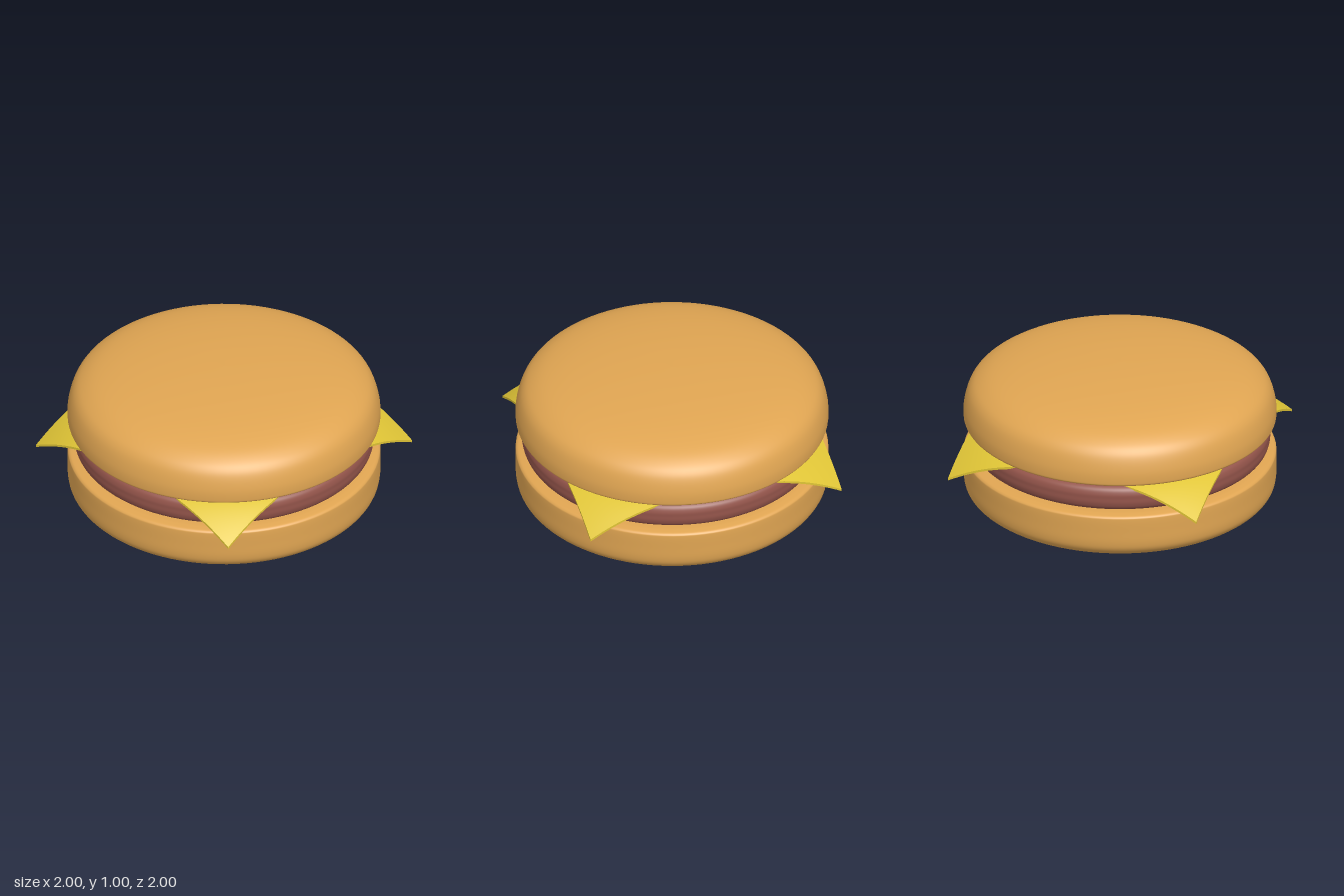
import * as THREE from 'three';

const material = (color) => new THREE.MeshStandardMaterial({ color });
const bread = material(0xe0a552);
const meat = material(0x93544a);
const dairy = material(0xe0c536);

// Smooth solid of revolution through [radius, height] points, bottom to top
function turned(name, points, mat) {
  const curve = new THREE.SplineCurve(points.map(([r, y]) => new THREE.Vector2(r, y)));
  const profile = curve.getPoints(points.length * 5);
  profile.forEach((p) => { p.x = Math.max(p.x, 0); });
  const mesh = new THREE.Mesh(new THREE.LatheGeometry(profile, 96), mat);
  mesh.name = name;
  return mesh;
}

// Square slice whose corners droop beyond the patty
function cheeseSlice() {
  const half = 0.85, thickness = 0.015, drop = 0.19;
  const geometry = new THREE.BoxGeometry(half * 2, thickness, half * 2, 48, 1, 48);
  const pos = geometry.attributes.position;
  const reach = half * Math.SQRT2 - half;
  for (let i = 0; i < pos.count; i++) {
    const over = Math.max(0, Math.hypot(pos.getX(i), pos.getZ(i)) - half) / reach;
    pos.setY(i, pos.getY(i) + 0.593 - drop * Math.pow(over, 1.45));
  }
  geometry.computeVertexNormals();
  const mesh = new THREE.Mesh(geometry, dairy);
  mesh.name = 'cheeseSlice';
  return mesh;
}

export function createModel() {
  const burger = new THREE.Group();
  burger.name = 'burger';

  // Bottom bun: rounded underside, straight wall, softened upper rim
  burger.add(turned('bottomBun', [
    [0, 0], [0.25, 0.005], [0.48, 0.017], [0.66, 0.033], [0.79, 0.052], [0.89, 0.08], [0.95, 0.112],
    [0.985, 0.15], [0.998, 0.2], [1, 0.28], [1, 0.36], [0.994, 0.384], [0.965, 0.395],
    [0.88, 0.4], [0.5, 0.4], [0, 0.4],
  ], bread));

  // Patty: flat disc with rounded edge
  burger.add(turned('patty', [
    [0, 0.4], [0.5, 0.4], [0.86, 0.401], [0.91, 0.408], [0.945, 0.43], [0.959, 0.465], [0.96, 0.5],
    [0.959, 0.53], [0.945, 0.562], [0.91, 0.581], [0.86, 0.586], [0.5, 0.586], [0, 0.586],
  ], meat));

  burger.add(cheeseSlice());

  // Top bun: softened lower rim rising into a shallow dome
  burger.add(turned('topBun', [
    [0, 0.6], [0.5, 0.6], [0.88, 0.6], [0.965, 0.605], [0.994, 0.615], [1, 0.64], [0.997, 0.7],
    [0.98, 0.772], [0.955, 0.825], [0.915, 0.866], [0.845, 0.906], [0.75, 0.936], [0.62, 0.961],
    [0.44, 0.982], [0.22, 0.996], [0, 1],
  ], bread));

  return burger;
}
